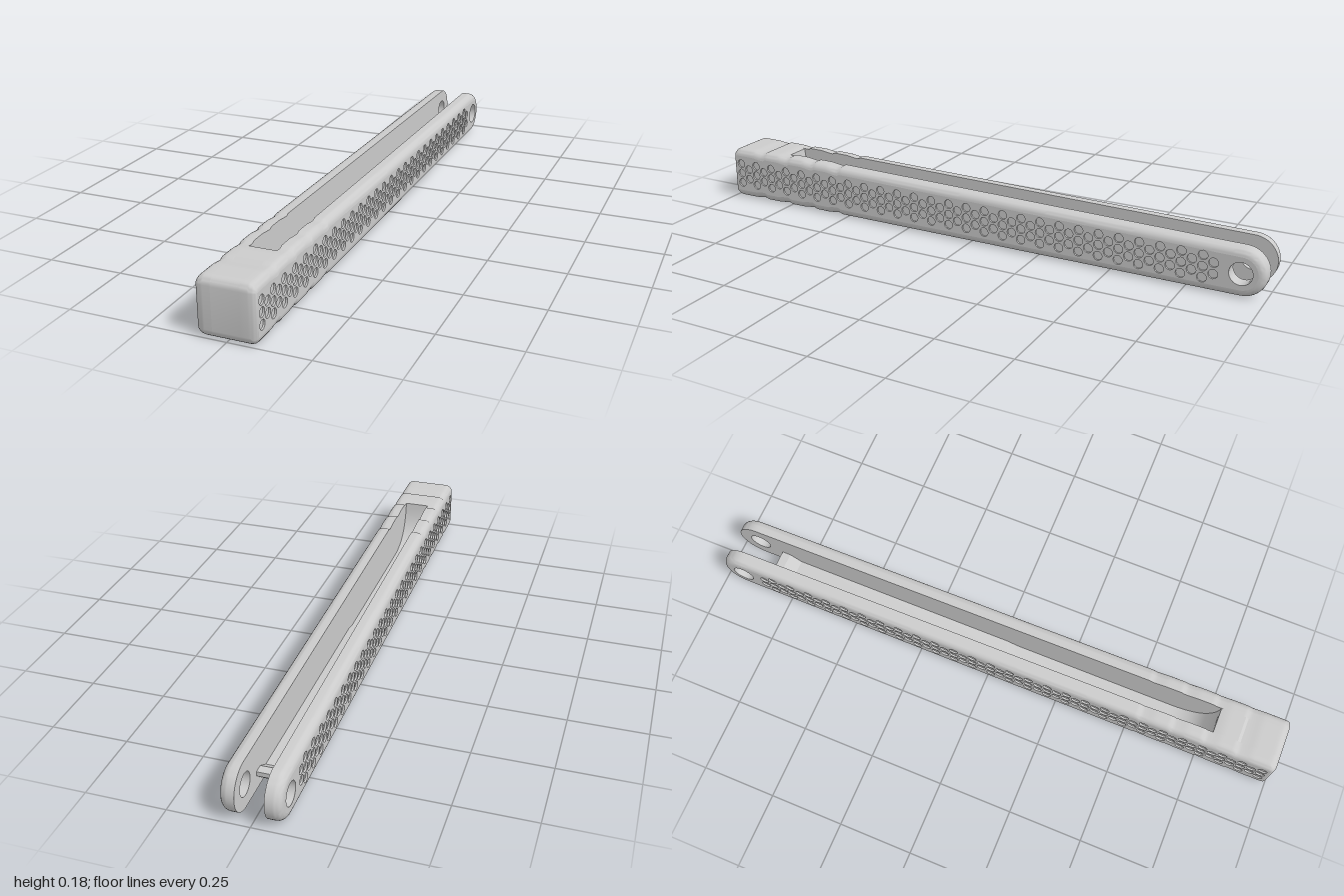
import * as THREE from 'three';
import { mergeGeometries, toCreasedNormals } from 'three/addons/utils/BufferGeometryUtils.js';

// Profiles are drawn in (u, v) = (-z, y) and turned so that depth runs along x.
const HALF = 0.091, SLOT = 0.043, R = 0.025;         // half width, half slot, edge rounding
const END = 0.0785, PIN_U = 1 - END, PIN_R = 0.037;  // rounded rear end and pin hole
const CELL_R = 0.0155, CELL_DEPTH = 0.006;
const V = (x, y) => new THREE.Vector2(x, y);

// Body height, tapering toward the rear
const height = u => 0.183 - (0.183 - 2 * END) * THREE.MathUtils.clamp((u + 0.7) / (PIN_U + 0.7), 0, 1);

// Finger grooves: a sharp step at the rear fading out toward the front
function groove(u) {
  for (const z0 of [0.53, 0.64, 0.75, 0.86]) {
    const t = (-u - z0) / 0.05;
    if (t >= 0 && t < 1) return 0.005 * Math.cos(t * Math.PI / 2);
  }
  return 0;
}

// Side outline, counter-clockwise, as points with outward normals
function outline() {
  const list = [], c = 0.026, n = 190;
  const add = (u, v, nu, nv) => list.push({ p: V(u, v), n: V(nu, nv) });
  const arc = (cu, cv, r, a0, a1, steps) => {
    for (let i = 0; i <= steps; i++) {
      const a = a0 + (a1 - a0) * i / steps;
      add(cu + r * Math.cos(a), cv + r * Math.sin(a), Math.cos(a), Math.sin(a));
    }
  };
  const at = i => -1 + c + (PIN_U + 1 - c) * i / n;
  for (let i = 1; i < n; i++) add(at(i), groove(at(i)), 0, -1);
  arc(PIN_U, END, END, -Math.PI / 2, Math.PI / 2, 24);
  for (let i = n - 1; i > 0; i--) add(at(i), height(at(i)) - groove(at(i)), 0, 1);
  arc(-1 + c, height(-1) - c, c, Math.PI / 2, Math.PI, 6);
  arc(-1 + c, c, c, Math.PI, Math.PI * 1.5, 6);
  return list;
}

// Outline moved inward; the front edge gets a tighter rounding
const inset = (line, d) => line.map(({ p, n }) => V(p.x - n.x * d * (n.x < 0 ? 0.5 : 1), p.y - n.y * d));

function circlePath(u, v, r, sides) {
  const pts = [];
  for (let i = 0; i < sides; i++) {
    const a = -i / sides * Math.PI * 2;
    pts.push(V(u + r * Math.cos(a), v + r * Math.sin(a)));
  }
  return new THREE.Path(pts);
}

// Staggered grid of round grip cells
function cellCentres() {
  const list = [];
  for (let k = 0, u = -0.965; u < 0.85; k++, u += 0.034) {
    for (const row of k % 2 ? [-0.5, 0.5] : [-1, 0, 1]) list.push(V(u, height(u) / 2 + row * 0.037));
  }
  return list;
}

// Rim of a side rail: flat walls that round over to the outer face
function rimGeometry(line) {
  const layers = [[SLOT, 0]];
  for (let i = 0; i <= 6; i++) {
    const a = i / 6 * Math.PI / 2;
    layers.push([HALF - R + R * Math.sin(a), R * (1 - Math.cos(a))]);
  }
  const pos = [], idx = [], n = line.length;
  for (const [w, d] of layers) for (const p of inset(line, d)) pos.push(p.x, p.y, w);
  for (let k = 0; k < layers.length - 1; k++) {
    for (let i = 0; i < n; i++) {
      const a = k * n + i, b = k * n + (i + 1) % n;
      idx.push(a, b, b + n, a, b + n, a + n);
    }
  }
  const g = new THREE.BufferGeometry();
  g.setAttribute('position', new THREE.Float32BufferAttribute(pos, 3));
  g.setIndex(idx);
  return toCreasedNormals(g, 0.6);
}

// Reflect in x and turn the faces round again
function mirrored(geometry) {
  const g = geometry.index ? geometry.toNonIndexed() : geometry.clone();
  g.scale(-1, 1, 1);
  for (const name of Object.keys(g.attributes)) {
    const at = g.attributes[name], s = at.itemSize, arr = at.array;
    for (let i = 0; i < at.count; i += 3) {
      for (let j = 0; j < s; j++) {
        const a = (i + 1) * s + j, b = (i + 2) * s + j, t = arr[a];
        arr[a] = arr[b];
        arr[b] = t;
      }
    }
  }
  return g;
}

export function createModel() {
  const model = new THREE.Group();
  model.name = 'slottedHandle';
  const solid = new THREE.MeshStandardMaterial({ color: 0xcccccc });
  const open = new THREE.MeshStandardMaterial({ color: 0xcccccc, side: THREE.DoubleSide });
  const line = outline(), cells = cellCentres();

  // Outer face, pierced by the cells and the pin hole
  const outerShape = new THREE.Shape(inset(line, R));
  outerShape.holes = cells.map(c => circlePath(c.x, c.y, CELL_R, 12));
  outerShape.holes.push(circlePath(PIN_U, END, PIN_R, 32));
  const outerFace = new THREE.ShapeGeometry(outerShape).translate(0, 0, HALF);

  // Inner face toward the slot
  const innerShape = new THREE.Shape(inset(line, 0));
  innerShape.holes.push(circlePath(PIN_U, END, PIN_R, 32));
  const innerFace = new THREE.ShapeGeometry(innerShape).translate(0, 0, SLOT);

  // Flat-bottomed pocket for each cell
  const pocket = toCreasedNormals(new THREE.LatheGeometry(
    [V(CELL_R, 0), V(CELL_R, -CELL_DEPTH), V(0, -CELL_DEPTH)], 12).rotateX(Math.PI / 2), 0.7);
  const pockets = mergeGeometries(cells.map(c => pocket.clone().translate(c.x, c.y, HALF)));

  const pinWall = new THREE.CylinderGeometry(PIN_R, PIN_R, HALF - SLOT, 32, 1, true)
    .rotateX(Math.PI / 2).translate(PIN_U, END, (HALF + SLOT) / 2);

  const parts = [
    ['railRim', rimGeometry(line), solid],
    ['railOuterFace', outerFace, solid],
    ['railInnerFace', innerFace, open],
    ['gripCells', pockets, open],
    ['pinHole', pinWall, open],
  ];
  for (const side of ['left', 'right']) {
    const rail = new THREE.Group();
    rail.name = side + 'Rail';
    for (const [name, geometry, material] of parts) {
      const g = geometry.clone().rotateY(Math.PI / 2);
      const mesh = new THREE.Mesh(side === 'left' ? g : mirrored(g), material);
      mesh.name = name;
      rail.add(mesh);
    }
    model.add(rail);
  }

  // Centre: solid front, slot floor with a curved ramp, raised rear lip
  const bottom = line.filter(q => q.n.y < 0 && q.n.x === 0 && q.p.x < 0.78).map(q => q.p);
  const ramp = new THREE.QuadraticBezierCurve(V(-0.62, 0.027), V(-0.76, 0.03), V(-0.772, 0.178));
  const front = line.filter(q => q.p.x < -0.775 && (q.n.y > 0 || q.n.x < 0)).map(q => q.p);
  const profile = [
    ...bottom, V(0.79, 0), V(0.84, 0.045), V(0.84, 0.06), V(0.81, 0.06), V(0.77, 0.035),
    V(-0.02, 0.035), V(-0.06, 0.027), ...ramp.getPoints(12), ...front,
  ];
  const core = new THREE.ExtrudeGeometry(new THREE.Shape(profile), { depth: SLOT * 2, bevelEnabled: false })
    .translate(0, 0, -SLOT).rotateY(Math.PI / 2);
  const coreMesh = new THREE.Mesh(toCreasedNormals(core, 0.4), solid);
  coreMesh.name = 'slotFloorAndFrontBlock';
  model.add(coreMesh);

  return model;
}
